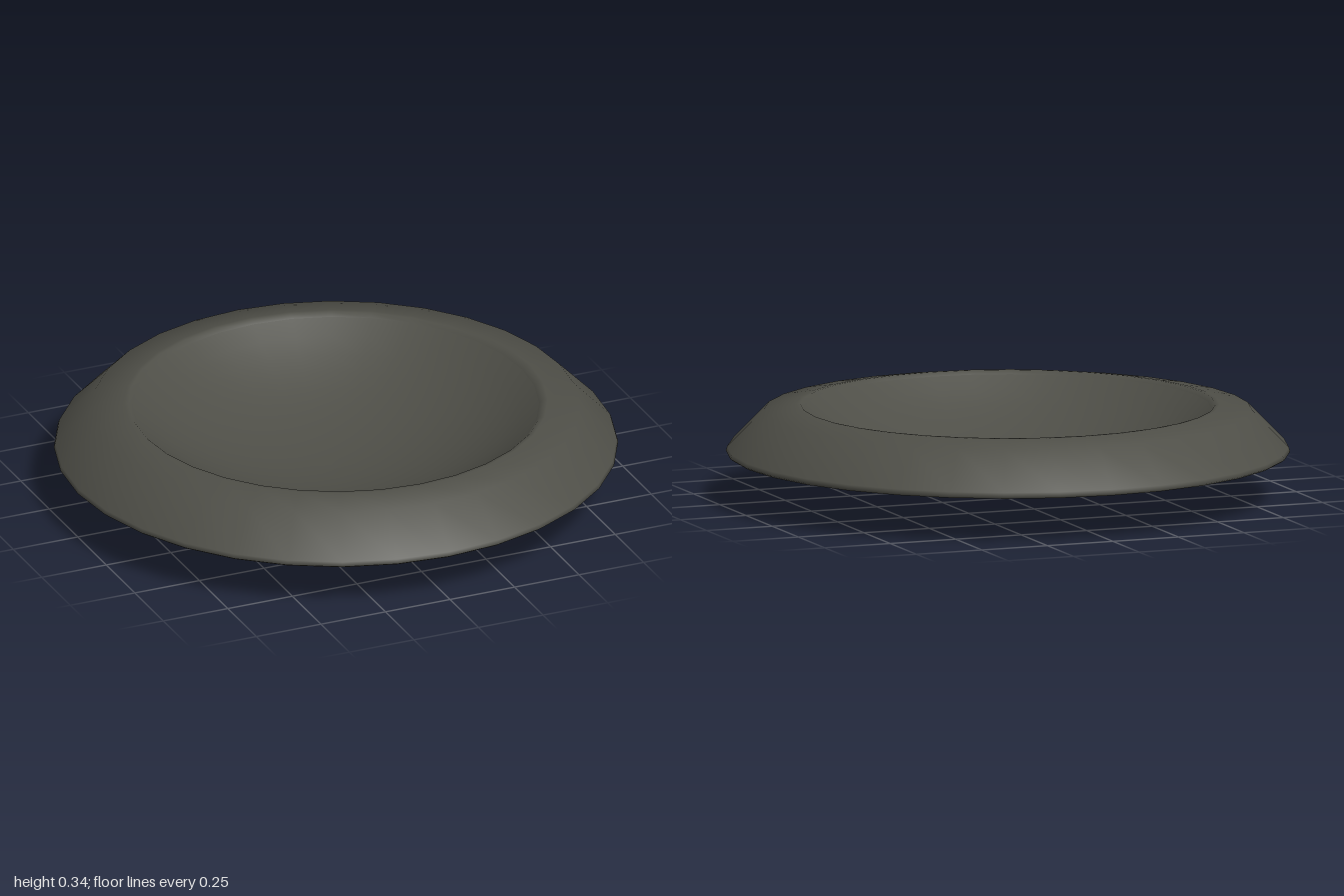
import * as THREE from 'three';

const SEGMENTS = 32;

export function createModel() {
  const group = new THREE.Group();
  group.name = 'shallowDish';

  const darkGrey = new THREE.MeshStandardMaterial({ color: 0x4e4e47 });
  darkGrey.name = 'dark warm grey';

  // Turns a radius/height profile into a named round part
  const turn = (name, profile) => {
    const points = profile.map(([r, y]) => new THREE.Vector2(r, y));
    const mesh = new THREE.Mesh(new THREE.LatheGeometry(points, SEGMENTS), darkGrey);
    mesh.name = name;
    group.add(mesh);
  };

  // Shallow cone underneath
  turn('underside', [[0, 0], [0.99, 0.163]]);

  // Thin outer edge, sloping shoulder and rounded lip
  turn('rim', [
    [0.99, 0.163], [1, 0.17], [0.995, 0.185], [0.865, 0.318],
    [0.75, 0.338], [0.735, 0.338], [0.72, 0.325],
  ]);

  // Hollow: a spherical cap sinking from the lip to the centre
  const lipRadius = 0.72, lipY = 0.325, depth = 0.25;
  const sphereRadius = (lipRadius ** 2 + depth ** 2) / (2 * depth);
  const lipAngle = Math.asin(lipRadius / sphereRadius);
  const bowl = [];
  for (let i = 0; i <= 10; i++) {
    const a = lipAngle * (1 - i / 10);
    bowl.push([sphereRadius * Math.sin(a), lipY - depth + sphereRadius * (1 - Math.cos(a))]);
  }
  turn('bowl', bowl);

  return group;
}
